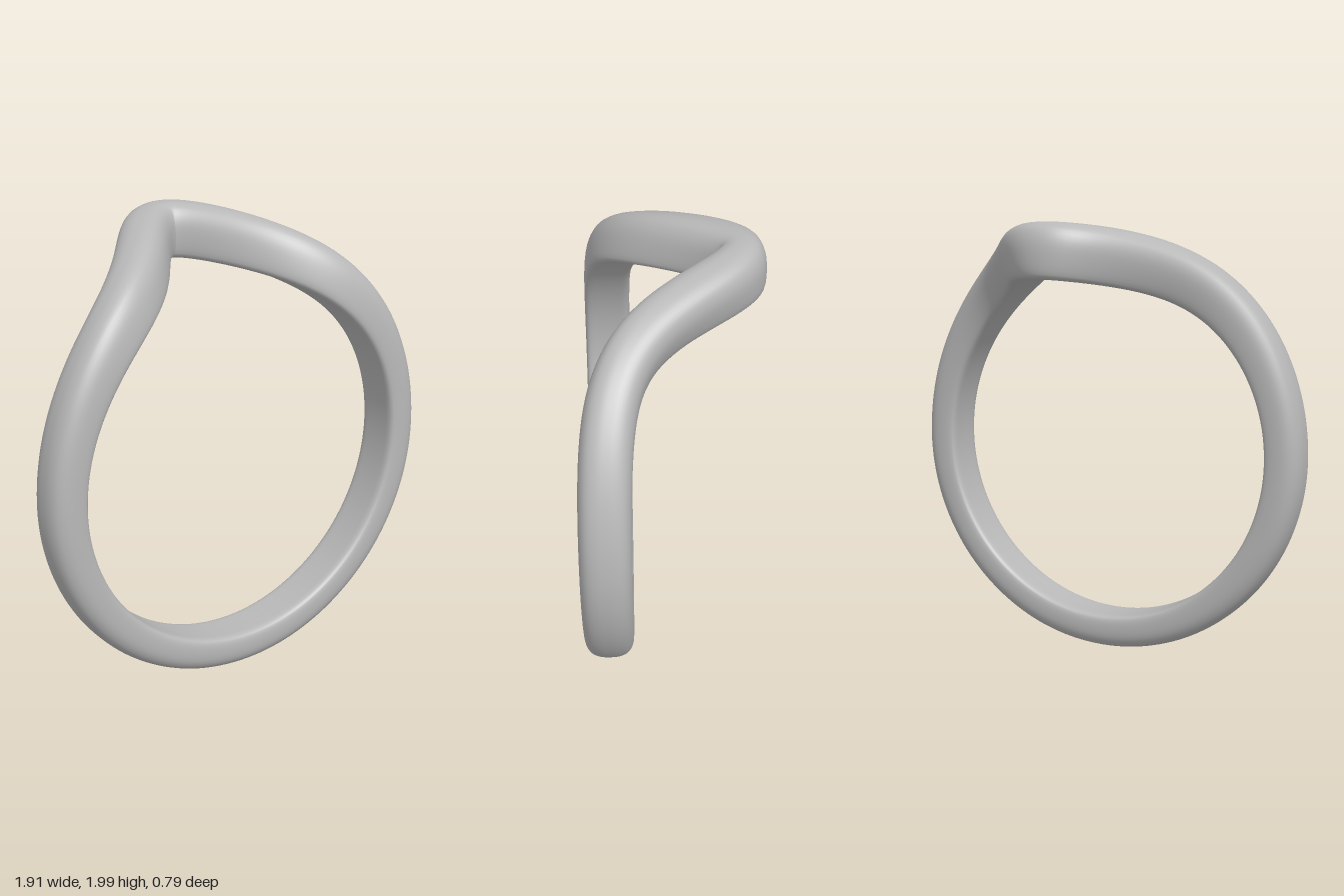
import * as THREE from 'three';

const INNER_R = 0.797, CENTER_Y = 0.963, HALF_WIDTH = 0.1075, MID_R = 0.88;
const STEPS = 360, SIDES = 48;

// Rounded band section: x across the band (-1..1), y from inner face (0) to crown (1)
function sectionPoints() {
  const half = [[0.45, 0], [0.8, 0.015], [0.95, 0.1], [1, 0.38], [0.94, 0.67], [0.73, 0.88], [0.38, 0.98]];
  const outline = [[0, 0], ...half, [0, 1], ...half.slice().reverse().map(([x, y]) => [-x, y])];
  const curve = new THREE.CatmullRomCurve3(outline.map(([x, y]) => new THREE.Vector3(x, y, 0)), true);
  return curve.getPoints(SIDES).slice(0, SIDES);
}

// Band path: flat ring that sweeps backwards to a peak at the top (angle 0)
const PEAK = 0.575, SPREAD = 0.375;
const pathZ = (a) => 0.2875 - PEAK / Math.cosh(a / SPREAD) ** 2;
const pathSlope = (a) =>
  (2 * PEAK * Math.tanh(a / SPREAD)) / (Math.cosh(a / SPREAD) ** 2 * SPREAD * MID_R);

// The band is thicker towards the peak
const thickness = (a) => 0.16 + 0.078 * Math.max(0, Math.cos(a)) ** 2;

function bandGeometry() {
  const section = sectionPoints();
  const positions = [], indices = [];
  for (let i = 0; i < STEPS; i++) {
    const a = ((i - STEPS / 2) / STEPS) * Math.PI * 2;
    const tilt = Math.atan(pathSlope(a));
    for (const p of section) {
      const across = p.x * HALF_WIDTH;
      // Offset square to the path; each half stops at the middle to form the notch
      let angle = a - (across * Math.sin(tilt)) / MID_R;
      if (a >= 0) angle = Math.max(0, angle);
      else angle = Math.min(0, angle);
      const r = INNER_R + p.y * thickness(a);
      positions.push(r * Math.sin(angle), CENTER_Y + r * Math.cos(angle), pathZ(a) + across * Math.cos(tilt));
    }
    const next = (i + 1) % STEPS;
    for (let j = 0; j < SIDES; j++) {
      const k = (j + 1) % SIDES;
      const p0 = i * SIDES + j, p1 = i * SIDES + k, q0 = next * SIDES + j, q1 = next * SIDES + k;
      indices.push(p0, q0, p1, p1, q0, q1);
    }
  }
  const geometry = new THREE.BufferGeometry();
  geometry.setAttribute('position', new THREE.Float32BufferAttribute(positions, 3));
  geometry.setIndex(indices);
  geometry.computeVertexNormals();
  return geometry;
}

export function createModel() {
  const group = new THREE.Group();
  group.name = 'chevronRing';
  const metal = new THREE.MeshStandardMaterial({ color: 0xb8b8b8 });
  metal.name = 'greyMetal';
  const band = new THREE.Mesh(bandGeometry(), metal);
  band.name = 'band';
  group.add(band);
  return group;
}
